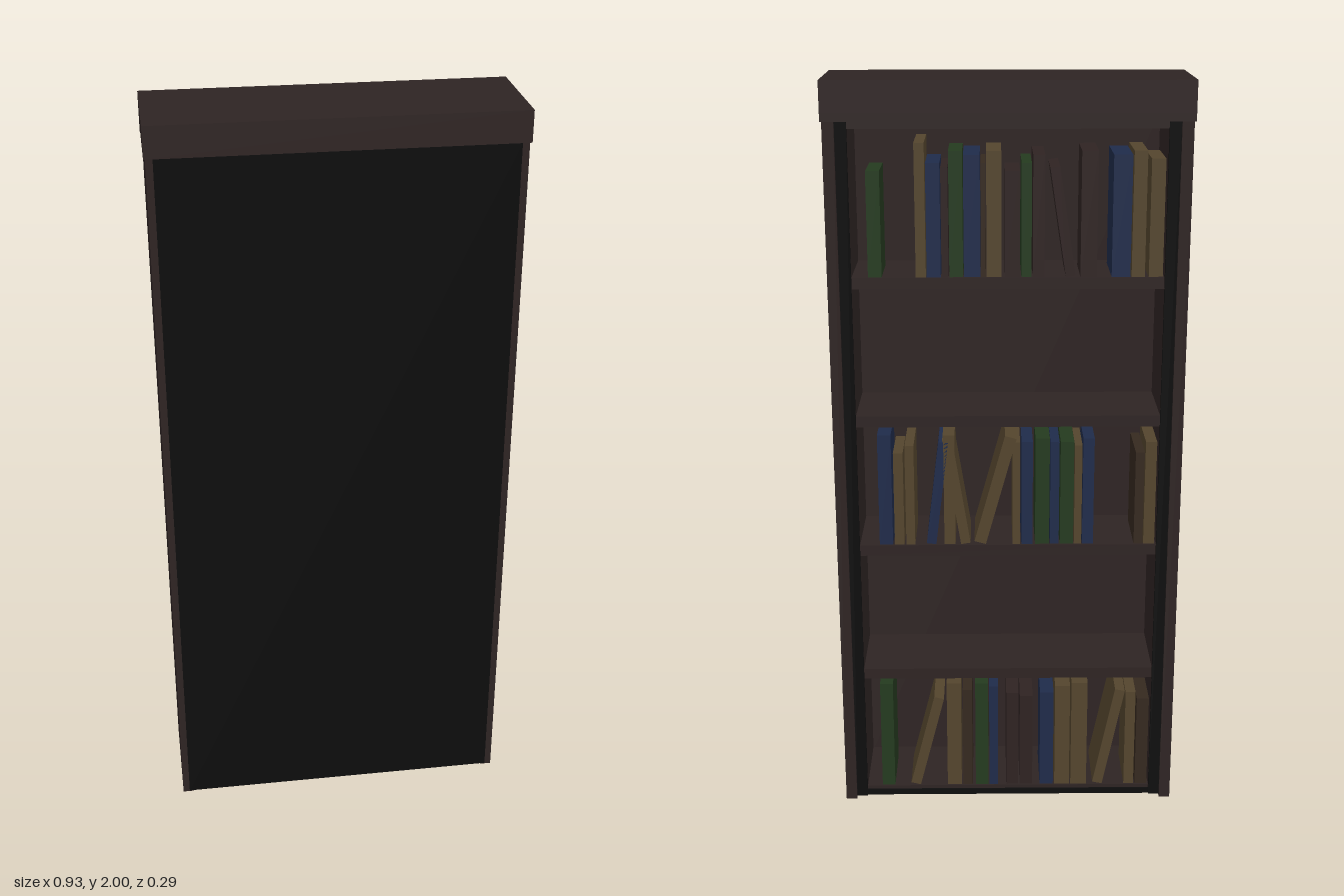
import * as THREE from 'three';

const material = (name, color) => {
  const m = new THREE.MeshStandardMaterial({ color });
  m.name = name;
  return m;
};

export function createModel() {
  const model = new THREE.Group();
  model.name = 'bookcase';
  const wood = material('dark wood', 0x2e2423);
  const black = material('black board', 0x0d0d0d);
  const covers = {
    tan: material('tan cover', 0x54452d),
    blue: material('blue cover', 0x1f2b4a),
    green: material('green cover', 0x243a1f),
    brown: material('brown cover', 0x35291f),
    dark: material('dark brown cover', 0x2f2322),
  };

  // Box given by its lower and upper limits on each axis
  const box = (name, mat, x0, x1, y0, y1, z0, z1, parent = model) => {
    const mesh = new THREE.Mesh(new THREE.BoxGeometry(x1 - x0, y1 - y0, z1 - z0), mat);
    mesh.position.set((x0 + x1) / 2, (y0 + y1) / 2, (z0 + z1) / 2);
    mesh.name = name;
    parent.add(mesh);
    return mesh;
  };

  // Cornice and the lip over the open side
  box('cornice', wood, -0.464, 0.464, 1.92, 2, -0.146, 0.146);
  box('corniceLip', wood, -0.464, 0.464, 1.9, 1.92, -0.146, -0.13);
  box('topBoard', wood, -0.43, 0.43, 1.88, 1.92, -0.125, 0.12);

  // Side panels, inner linings and black edge strips
  for (const s of [-1, 1]) {
    const side = (name, mat, a, b, y0, y1, z0, z1) =>
      box(name, mat, Math.min(s * a, s * b), Math.max(s * a, s * b), y0, y1, z0, z1);
    side('sidePanel', wood, 0.43, 0.46, 0, 1.92, -0.14, 0.139);
    side('sideLining', wood, 0.4, 0.43, 0.02, 1.9, -0.122, 0.12);
    side('edgeStrip', black, 0.4, 0.43, 0.005, 1.9, -0.132, -0.122);
  }

  // Closed face, inner wall and base
  box('closingPanel', black, -0.442, 0.442, 0.003, 1.92, 0.12, 0.14);
  box('innerWall', wood, -0.4, 0.4, 0.02, 1.9, 0.1, 0.12);
  box('base', black, -0.43, 0.43, 0.004, 0.02, -0.125, 0.12);
  box('bottomShelf', wood, -0.4, 0.4, 0.02, 0.03, -0.12, 0.1);
  for (const y of [0.4, 0.77, 1.135, 1.505]) {
    box('shelf', wood, -0.4, 0.4, y - 0.03, y, -0.122, 0.1);
  }

  // Books: +x edge, width, height, cover, lean (positive tips towards -x)
  const rows = [
    [1.505, [
      [0.358, 0.035, 0.27, 'green'], [0.236, 0.026, 0.34, 'tan'], [0.208, 0.036, 0.29, 'blue'],
      [0.17, 0.018, 0.28, 'dark'], [0.15, 0.035, 0.32, 'green'], [0.113, 0.042, 0.31, 'blue'],
      [0.069, 0.012, 0.29, 'brown'], [0.055, 0.038, 0.32, 'tan'], [0.008, 0.038, 0.27, 'dark'],
      [-0.034, 0.026, 0.29, 'green'], [-0.063, 0.03, 0.31, 'dark'], [-0.148, 0.025, 0.28, 'dark', -0.15],
      [-0.185, 0.042, 0.32, 'dark'], [-0.265, 0.048, 0.31, 'blue'], [-0.316, 0.034, 0.32, 'tan'],
      [-0.36, 0.036, 0.3, 'tan'],
    ]],
    [0.77, [
      [0.347, 0.036, 0.31, 'blue'], [0.306, 0.026, 0.26, 'tan'], [0.275, 0.024, 0.28, 'tan'],
      [0.22, 0.026, 0.29, 'blue', 0.12], [0.172, 0.03, 0.31, 'tan'], [0.127, 0.026, 0.3, 'tan', -0.16],
      [0.092, 0.032, 0.31, 'tan', 0.27], [-0.012, 0.02, 0.29, 'tan'], [-0.036, 0.03, 0.29, 'blue'],
      [-0.073, 0.038, 0.3, 'green'], [-0.113, 0.024, 0.29, 'blue'], [-0.14, 0.036, 0.29, 'green'],
      [-0.178, 0.02, 0.28, 'tan'], [-0.2, 0.03, 0.3, 'blue'], [-0.34, 0.024, 0.26, 'brown'],
      [-0.366, 0.03, 0.29, 'tan'],
    ]],
    [0.03, [
      [0.358, 0.036, 0.32, 'green'], [0.277, 0.028, 0.28, 'tan', 0.25], [0.172, 0.04, 0.32, 'tan'],
      [0.127, 0.026, 0.3, 'brown'], [0.092, 0.036, 0.32, 'green'], [0.053, 0.025, 0.31, 'blue'],
      [0.005, 0.034, 0.29, 'dark'], [-0.033, 0.036, 0.28, 'dark'], [-0.09, 0.038, 0.29, 'blue'],
      [-0.132, 0.042, 0.31, 'tan'], [-0.178, 0.045, 0.32, 'tan'], [-0.24, 0.028, 0.3, 'tan', 0.2],
      [-0.33, 0.028, 0.29, 'tan'], [-0.362, 0.034, 0.27, 'brown'],
    ]],
  ];
  rows.forEach(([y, books], r) => {
    const row = new THREE.Group();
    row.name = 'bookRow';
    model.add(row);
    books.forEach(([x, w, h, cover, lean = 0], i) => {
      // Pivot on the lower corner that stays on the shelf
      const pivot = new THREE.Group();
      pivot.name = 'book';
      pivot.position.set(lean > 0 ? x - w : x, y, 0);
      pivot.rotation.z = lean;
      const from = lean > 0 ? 0 : -w;
      const depth = 0.15 + ((i * 3 + r) % 4) * 0.008;
      box('cover', covers[cover], from, from + w, 0, h, -0.115, -0.115 + depth, pivot);
      row.add(pivot);
    });
  });
  return model;
}
